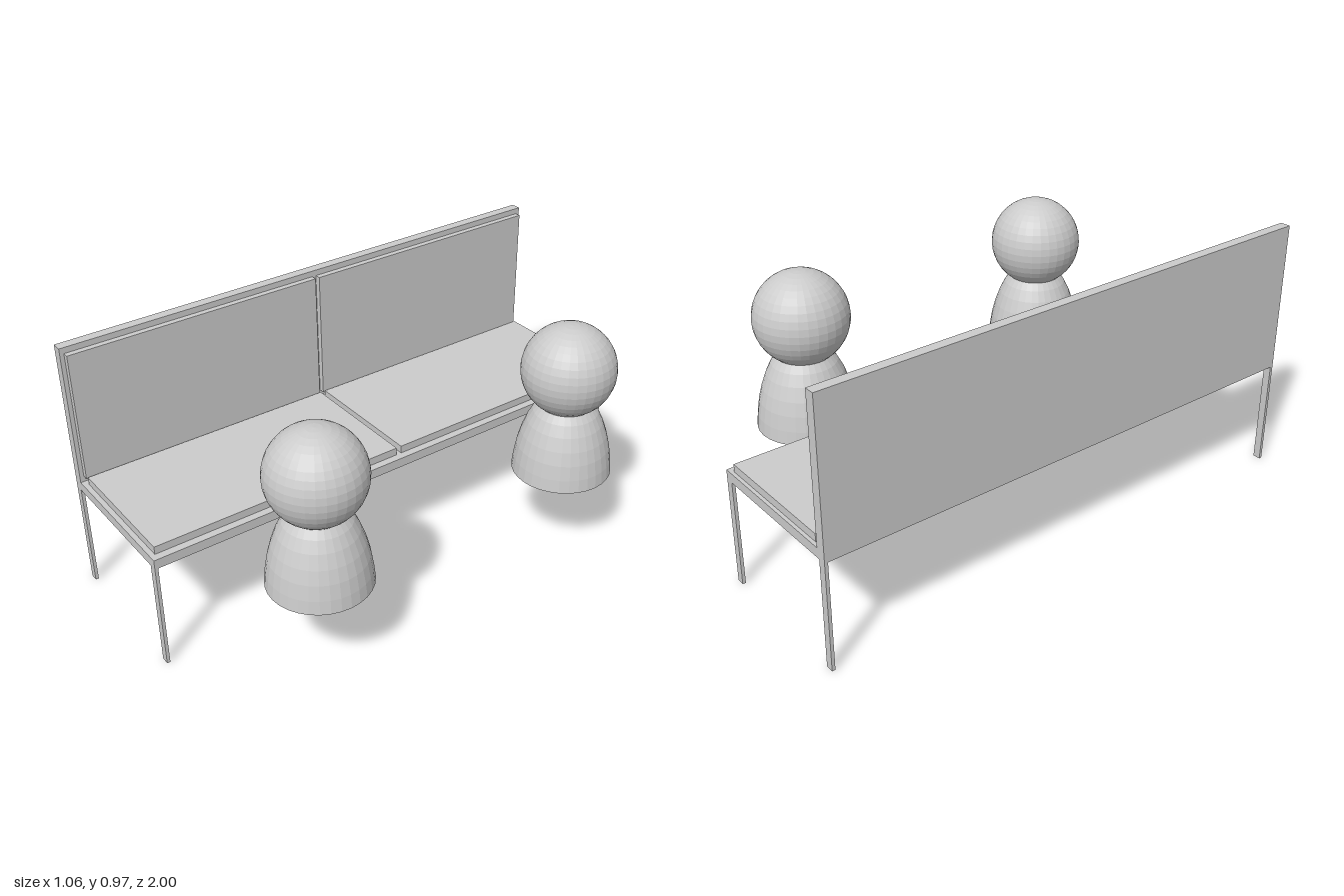
import * as THREE from 'three';

const grey = new THREE.MeshStandardMaterial({ color: 0xcccccc, flatShading: true });
const shell = new THREE.MeshStandardMaterial({ color: 0xcccccc, flatShading: true, side: THREE.DoubleSide });

// Box given by its limits on each axis
function box(name, [x0, x1], [y0, y1], [z0, z1]) {
  const mesh = new THREE.Mesh(new THREE.BoxGeometry(x1 - x0, y1 - y0, z1 - z0), grey);
  mesh.position.set((x0 + x1) / 2, (y0 + y1) / 2, (z0 + z1) / 2);
  mesh.name = name;
  return mesh;
}

// Stool-like figure: ball on an open, flared dome
function createFigure(x, y, z) {
  const figure = new THREE.Group();
  figure.name = 'figure';
  const profile = [
    [0.183, 0], [0.178, 0.05], [0.169, 0.105], [0.156, 0.155],
    [0.138, 0.205], [0.118, 0.245], [0.098, 0.272],
  ].map(([r, h]) => new THREE.Vector2(r, h));
  const body = new THREE.Mesh(new THREE.LatheGeometry(profile, 32), shell);
  body.name = 'figureBody';
  const head = new THREE.Mesh(new THREE.SphereGeometry(0.172, 32, 20), grey);
  head.name = 'figureHead';
  head.position.y = 0.413;
  figure.add(body, head);
  figure.position.set(x, y, z);
  return figure;
}

export function createModel() {
  const model = new THREE.Group();
  model.name = 'benchWithFigures';

  const bench = new THREE.Group();
  bench.name = 'bench';
  // Seat board and backrest
  bench.add(box('seatBoard', [-0.492, 0.055], [0.405, 0.441], [-1, 1]));
  bench.add(box('backrest', [-0.53, -0.492], [0.405, 0.973], [-1, 1]));

  // Two seat pads and two back pads
  for (const z of [[-0.987, -0.013], [0.007, 0.981]]) {
    bench.add(box('seatPad', [-0.465, 0.026], [0.441, 0.47], z));
  }
  for (const z of [[-0.985, -0.008], [0.008, 0.985]]) {
    bench.add(box('backPad', [-0.492, -0.47], [0.462, 0.951], z));
  }

  // Thin legs at the corners
  for (const x of [[-0.53, -0.501], [0.026, 0.055]]) {
    for (const z of [[-1, -0.988], [0.988, 1]]) {
      bench.add(box('leg', x, [0, 0.405], z));
    }
  }
  model.add(bench);

  // Figures in front of the bench
  model.add(createFigure(0.343, 0.342, 0.556));
  model.add(createFigure(0.322, 0.338, -0.533));
  return model;
}
